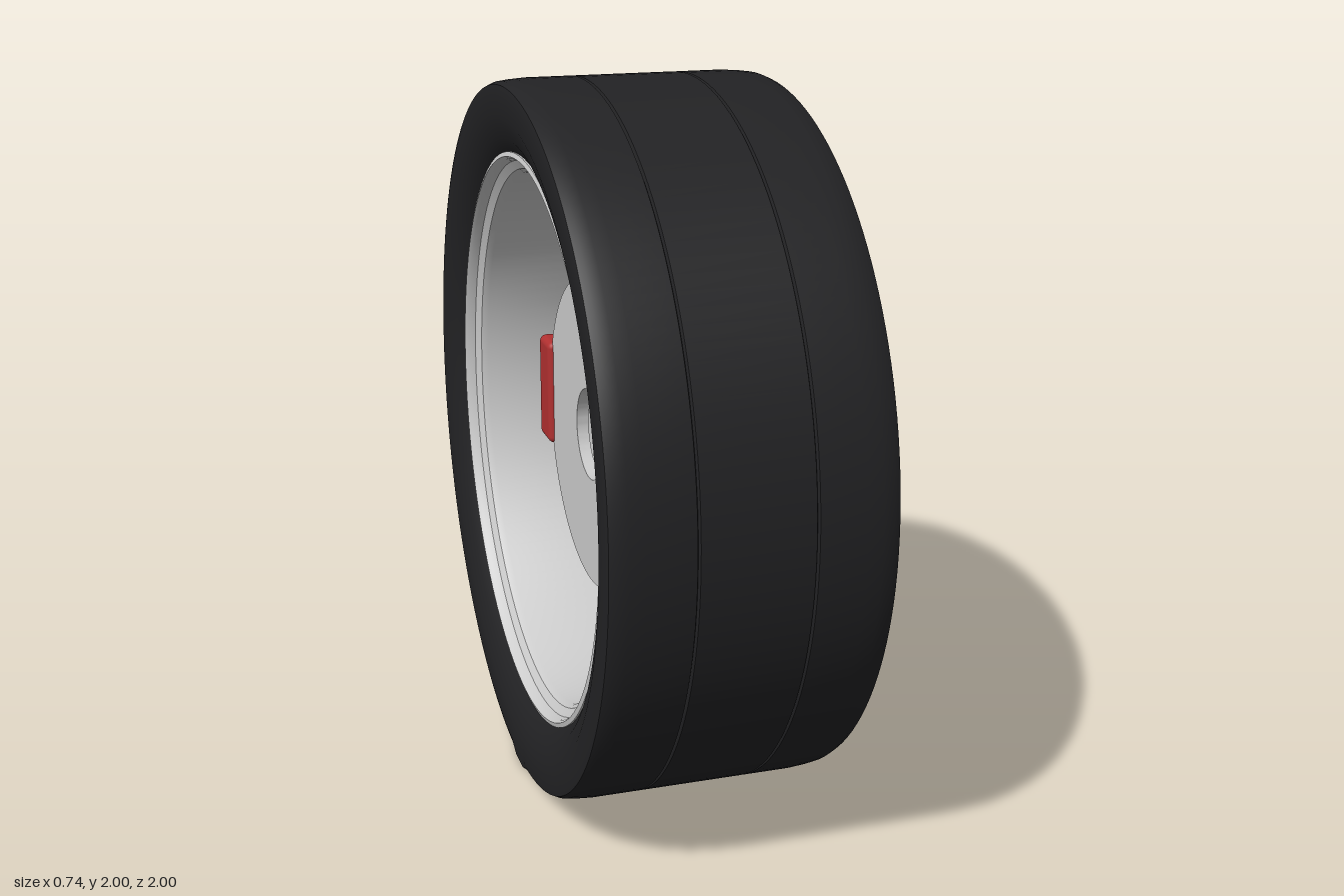
import * as THREE from 'three';
import { toCreasedNormals } from 'three/addons/utils/BufferGeometryUtils.js';
import { RoundedBoxGeometry } from 'three/addons/geometries/RoundedBoxGeometry.js';

const paint = (color) => new THREE.MeshStandardMaterial({ color });
const grey = paint(0xcccccc);
const rubber = paint(0x222224);
const red = paint(0xb03030);
const black = paint(0x111111);

// Revolve a [radius, x] profile around the wheel's x axis
function spin(profile, segments = 128) {
  const points = profile.map(([r, x]) => new THREE.Vector2(r, x));
  return new THREE.LatheGeometry(points, segments).rotateZ(-Math.PI / 2);
}

function add(parent, name, geometry, material, x = 0, y = 0, z = 0) {
  const mesh = new THREE.Mesh(geometry, material);
  mesh.name = name;
  mesh.position.set(x, y, z);
  parent.add(mesh);
  return mesh;
}

// Tyre: mirrored half profile with two grooves, flattened where it meets the ground
function tyreGeometry() {
  const half = [[0.785, 0.31], [0.8, 0.325], [0.84, 0.35], [0.9, 0.368], [0.97, 0.37], [0.985, 0.367],
    [0.993, 0.35], [0.997, 0.32], [1, 0.28], [1, 0.154], [0.991, 0.15], [1, 0.146]];
  const left = half.map(([r, x]) => [r, -x]);
  const geometry = spin([...left, ...half.reverse()], 144);
  const p = geometry.attributes.position;
  for (let i = 0; i < p.count; i++) {
    if (p.getY(i) < -0.984 && Math.abs(p.getZ(i)) < 0.165) p.setY(i, -1);
  }
  return toCreasedNormals(geometry, 0.6);
}

// Spoke: curved side outline extruded to a bevelled bar, wider at the hub
function spokeGeometry() {
  const front = [[0.175, 0.2], [0.172, 0.35], [0.18, 0.5], [0.205, 0.64], [0.25, 0.757]];
  const back = [[0.215, 0.757], [0.165, 0.64], [0.14, 0.5], [0.13, 0.35], [0.13, 0.2]];
  const curve = (pts) => new THREE.SplineCurve(pts.map(([x, r]) => new THREE.Vector2(x, r))).getPoints(14);
  const shape = new THREE.Shape([...curve(front), ...curve(back)]);
  const geometry = new THREE.ExtrudeGeometry(shape, {
    depth: 0.024, bevelEnabled: true, bevelThickness: 0.009, bevelSize: 0.009,
    bevelOffset: -0.009, bevelSegments: 1,
  }).translate(0, 0, -0.012);
  const p = geometry.attributes.position;
  for (let i = 0; i < p.count; i++) {
    const t = (0.757 - p.getY(i)) / 0.55;
    p.setZ(i, p.getZ(i) * (1 + 0.35 * t));
  }
  return toCreasedNormals(geometry, 0.5);
}

export function createModel() {
  const model = new THREE.Group();
  model.name = 'wheel';
  const wheel = new THREE.Group();
  wheel.name = 'wheelAssembly';
  wheel.position.y = 1;
  model.add(wheel);

  add(wheel, 'tyre', tyreGeometry(), rubber);

  // Rim barrel with a lip on each side
  const rim = [[0.77, -0.25], [0.77, 0.25], [0.79, 0.3], [0.803, 0.318], [0.803, 0.332], [0.79, 0.336],
    [0.783, 0.325], [0.778, 0.305], [0.755, 0.29], [0.747, 0.27], [0.747, -0.27],
    [0.755, -0.29], [0.778, -0.305], [0.783, -0.325], [0.79, -0.336], [0.803, -0.332], [0.803, -0.318],
    [0.79, -0.3], [0.77, -0.25]];
  add(wheel, 'rim', toCreasedNormals(spin(rim), 0.5), grey);

  // Twelve spokes
  const spokes = new THREE.Group();
  spokes.name = 'spokes';
  wheel.add(spokes);
  const spoke = spokeGeometry();
  for (let i = 0; i < 12; i++) {
    add(spokes, 'spoke', spoke, grey).rotation.x = (i * Math.PI) / 6;
  }

  // Hub plate with a recessed middle, domed cap and four nuts
  const hub = [[0, 0.15], [0.275, 0.15], [0.28, 0.155], [0.28, 0.2], [0.274, 0.207],
    [0.205, 0.207], [0.2, 0.202], [0.2, 0.18], [0, 0.18]];
  add(wheel, 'hub', toCreasedNormals(spin(hub, 64), 0.6), grey);
  const cap = [[0.1, 0.175], [0.1, 0.186], [0.085, 0.193], [0.055, 0.2], [0.025, 0.204], [0, 0.205]];
  add(wheel, 'centreCap', toCreasedNormals(spin(cap, 48), 0.6), grey);
  const nut = toCreasedNormals(new THREE.CylinderGeometry(0.022, 0.024, 0.04, 6).rotateZ(-Math.PI / 2), 0.5);
  for (const y of [-0.11, 0.11]) {
    for (const z of [-0.11, 0.11]) add(wheel, 'wheelNut', nut, grey, 0.192, y, z);
  }

  // Brake disc with a centre hole, and its caliper
  const disc = [[0.13, -0.145], [0.44, -0.145], [0.44, -0.11], [0.13, -0.11], [0.13, -0.145]];
  add(wheel, 'brakeDisc', toCreasedNormals(spin(disc, 96), 0.6), grey);
  add(wheel, 'brakeCaliper', new RoundedBoxGeometry(0.12, 0.32, 0.122, 4, 0.02), red, -0.1, 0, -0.46);

  // Valve stem
  const valve = new THREE.CylinderGeometry(0.009, 0.012, 0.08, 12).rotateZ(-Math.PI / 2);
  add(wheel, 'valveStem', valve, black, 0.275, 0.617, 0.375);
  const valveCap = new THREE.CylinderGeometry(0.012, 0.012, 0.025, 12).rotateZ(-Math.PI / 2);
  add(wheel, 'valveCap', valveCap, black, 0.305, 0.617, 0.375);

  return model;
}
